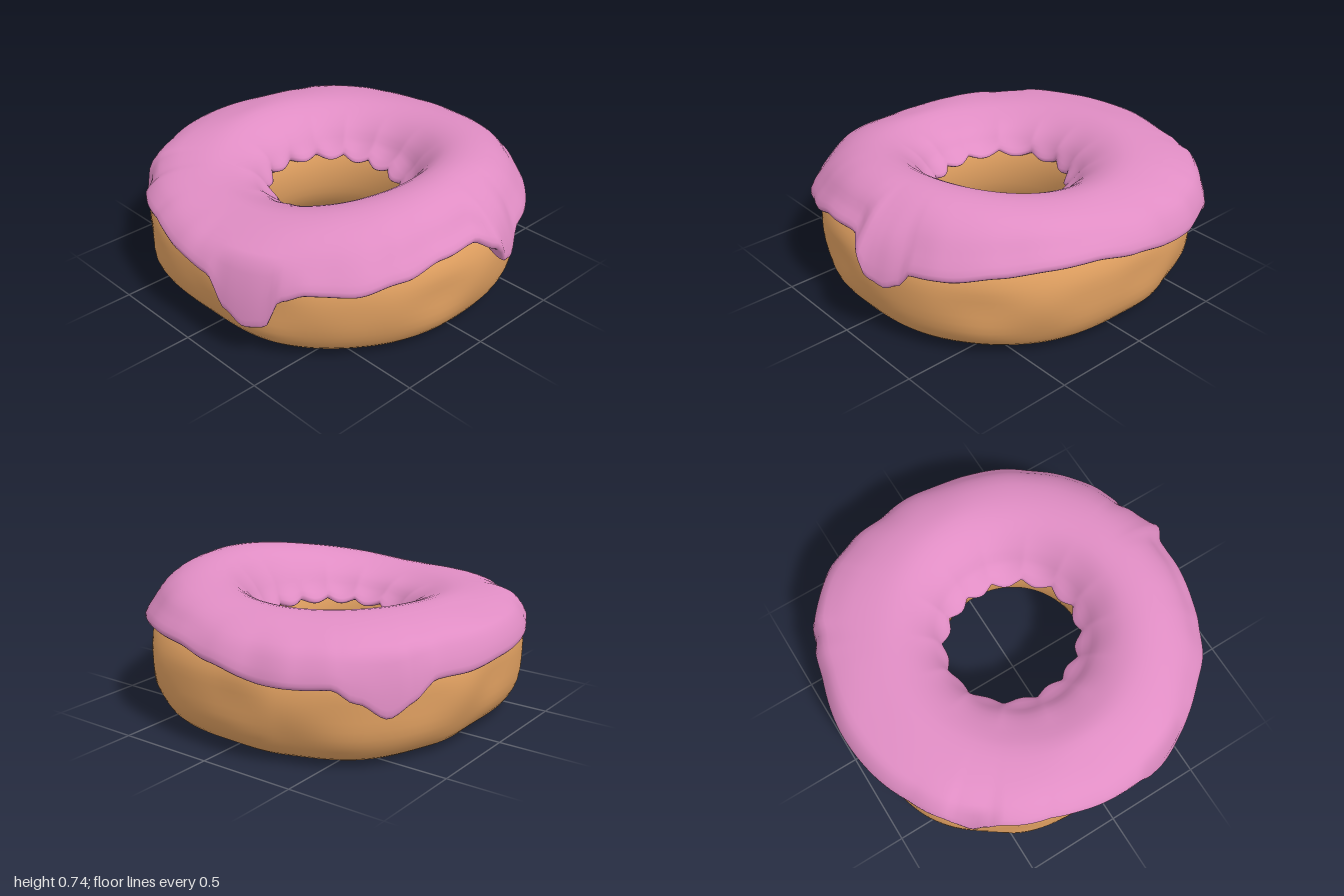
import * as THREE from 'three';

const TURN = 240, RING = 44;
const { lerp, smoothstep } = THREE.MathUtils;

// Smooth periodic interpolation of [degrees, value] keys; 0 is the front, 90 is +x
function around(keys) {
  return (deg) => {
    const n = keys.length;
    let i = n - 1;
    while (i > 0 && keys[i][0] > deg) i--;
    const [a, va] = keys[i];
    const [b, vb] = i + 1 < n ? keys[i + 1] : [360 + keys[0][0], keys[0][1]];
    return lerp(va, vb, smoothstep(deg, a, b));
  };
}

const doughRadius = around([[0, 0.91], [30, 0.93], [60, 0.935], [90, 0.915], [110, 0.945], [135, 0.985],
  [160, 0.95], [180, 0.92], [215, 0.99], [237, 0.965], [270, 0.9], [300, 0.935], [330, 0.925]]);

const icingRadius = around([[0, 0.92], [8, 1.0], [14, 0.985], [22, 0.96], [31, 0.97], [58, 0.945],
  [77, 0.94], [102, 0.98], [116, 1.02], [132, 1.05], [144, 1.05], [150, 1.02], [162, 0.995], [180, 1.0],
  [197, 1.0], [215, 0.99], [225, 0.985], [237, 0.95], [255, 0.96], [270, 0.97], [291, 0.985],
  [313, 0.97], [322, 0.98], [332, 0.96], [348, 0.935]]);

// Height of the icing's lower edge, with its drips
const icingEdge = around([[0, 0.52], [6, 0.47], [10, 0.37], [15, 0.345], [19, 0.37], [23, 0.44], [33, 0.45],
  [48, 0.48], [62, 0.5], [75, 0.5], [90, 0.47], [108, 0.42], [118, 0.42], [126, 0.43], [132, 0.37],
  [140, 0.29], [147, 0.35], [154, 0.43], [165, 0.42], [180, 0.44], [205, 0.45], [218, 0.46], [222, 0.4],
  [226, 0.32], [230, 0.4], [235, 0.47], [250, 0.47], [265, 0.44], [278, 0.41], [284, 0.26], [290, 0.2],
  [296, 0.22], [301, 0.38], [308, 0.42], [320, 0.42], [335, 0.46], [347, 0.51]]);

// Height of the icing's crown: highest at the front, lowest on the right
const crown = (a) => 0.679 + 0.0375 * Math.cos(a) + 0.024 * Math.cos(2 * a) + 0.03 * Math.sin(a);

// Sweep a closed section of [radius, height] points around the y axis
function sweepRing(section) {
  const pos = [], index = [];
  for (let i = 0; i < TURN; i++) {
    const a = (i / TURN) * Math.PI * 2;
    const pts = section(a, (i / TURN) * 360).map(([r, y]) => new THREE.Vector3(r, y, 0));
    const curve = new THREE.CatmullRomCurve3(pts, true);
    for (let j = 0; j < RING; j++) {
      const p = curve.getPoint(j / RING);
      pos.push(p.x * Math.sin(a), Math.max(0, p.y), p.x * Math.cos(a));
      const i2 = (i + 1) % TURN, j2 = (j + 1) % RING;
      const A = i * RING + j, B = i2 * RING + j, C = i2 * RING + j2, D = i * RING + j2;
      index.push(A, B, C, A, C, D);
    }
  }
  const geo = new THREE.BufferGeometry();
  geo.setAttribute('position', new THREE.Float32BufferAttribute(pos, 3));
  geo.setIndex(index);
  geo.computeVertexNormals();
  return geo;
}

// Flat-bottomed dough, slightly uneven outside, with a hole that flares towards the base
function doughSection(a, deg) {
  const R = doughRadius(deg);
  const dent = 0.005 * Math.sin(7 * a) + 0.003 * Math.sin(13 * a + 1);
  return [[R + dent, 0.3], [R - 0.012, 0.43], [R - 0.09, 0.54], [0.64, 0.6], [0.5, 0.56], [0.41, 0.46],
    [0.378, 0.33], [0.405, 0.17], [0.51, 0.04], [0.64, 0.005], [R - 0.2, 0], [R - 0.085, 0.05],
    [R - 0.02 - dent, 0.15]];
}

// Icing: outer lip, shoulder, crown, scalloped hole edge, hidden underside
function icingSection(a, deg) {
  const body = doughRadius(deg);
  const R = Math.max(icingRadius(deg), body + 0.012);
  const S = body + 0.03;
  const e = icingEdge(deg), T = crown(a), front = Math.cos(a);
  const up = (t) => lerp(Math.max(e, 0.42), T, t);
  const lobe = Math.abs(Math.sin(7 * a + 0.35 * Math.sin(2 * a + 1)));
  const I = 0.348 - 0.03 * lobe + 0.02 * Math.cos(2 * a) - 0.012 * front - 0.01 * Math.sin(a);
  const y = 0.468 - 0.02 * lobe;
  return [[R - 0.012, e], [R, e + 0.03], [R - 0.05, up(0.51 - 0.12 * front)],
    [(R + S) / 2 - 0.11, up(0.75 - 0.05 * front)], [S - 0.2, up(0.93)],
    [0.64, T], [0.53, T - 0.03], [0.44, lerp(y, T, 0.58)], [0.385, lerp(y, T, 0.27)], [I, y],
    [I + 0.025, y - 0.018], [0.43, 0.48], [0.52, 0.54], [0.64, 0.57], [R - 0.17, 0.53],
    [R - 0.08, Math.min(e + 0.03, 0.52)]];
}

export function createModel() {
  const group = new THREE.Group();
  group.name = 'doughnut';
  const add = (name, section, color) => {
    const mesh = new THREE.Mesh(sweepRing(section), new THREE.MeshStandardMaterial({ color }));
    mesh.name = name;
    group.add(mesh);
  };
  add('dough', doughSection, 0xdf9f60);
  add('icing', icingSection, 0xe08dc4);
  return group;
}
